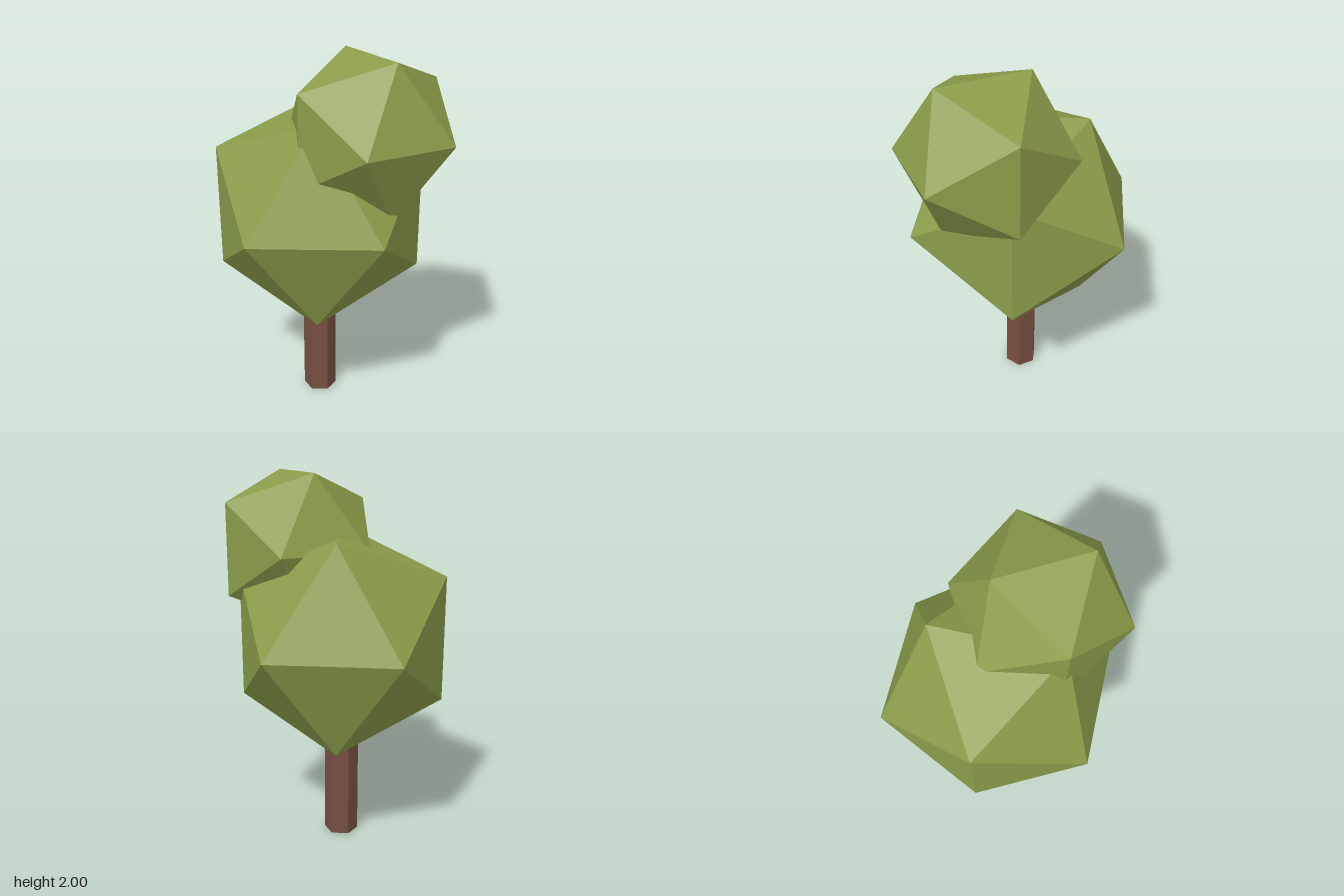
import * as THREE from 'three';

export function createModel() {
  const tree = new THREE.Group();
  tree.name = 'tree';

  const leafGreen = new THREE.MeshStandardMaterial({ color: 0x8a9c4a, flatShading: true });
  leafGreen.name = 'leafGreen';
  const barkBrown = new THREE.MeshStandardMaterial({ color: 0x774f41, flatShading: true });
  barkBrown.name = 'barkBrown';

  // Faceted foliage ball, with an edge along its top, turned about the vertical axis
  function foliage(name, radius, x, y, z, turn) {
    const geometry = new THREE.IcosahedronGeometry(radius, 0);
    geometry.rotateX(Math.PI / 2);
    geometry.rotateY(turn);
    const mesh = new THREE.Mesh(geometry, leafGreen);
    mesh.name = name;
    mesh.position.set(x, y, z);
    tree.add(mesh);
  }

  foliage('largeFoliage', 0.642, -0.06, 1.141, -0.036, 0);
  foliage('smallFoliage', 0.464, 0.198, 1.605, 0.119, Math.PI / 6);

  // Six-sided trunk, its top hidden in the large foliage
  const height = 0.75;
  const trunkGeometry = new THREE.CylinderGeometry(0.093, 0.093, height, 6);
  trunkGeometry.rotateY(Math.PI / 6);
  const trunk = new THREE.Mesh(trunkGeometry, barkBrown);
  trunk.name = 'trunk';
  trunk.position.set(-0.061, height / 2, -0.035);
  tree.add(trunk);

  return tree;
}
